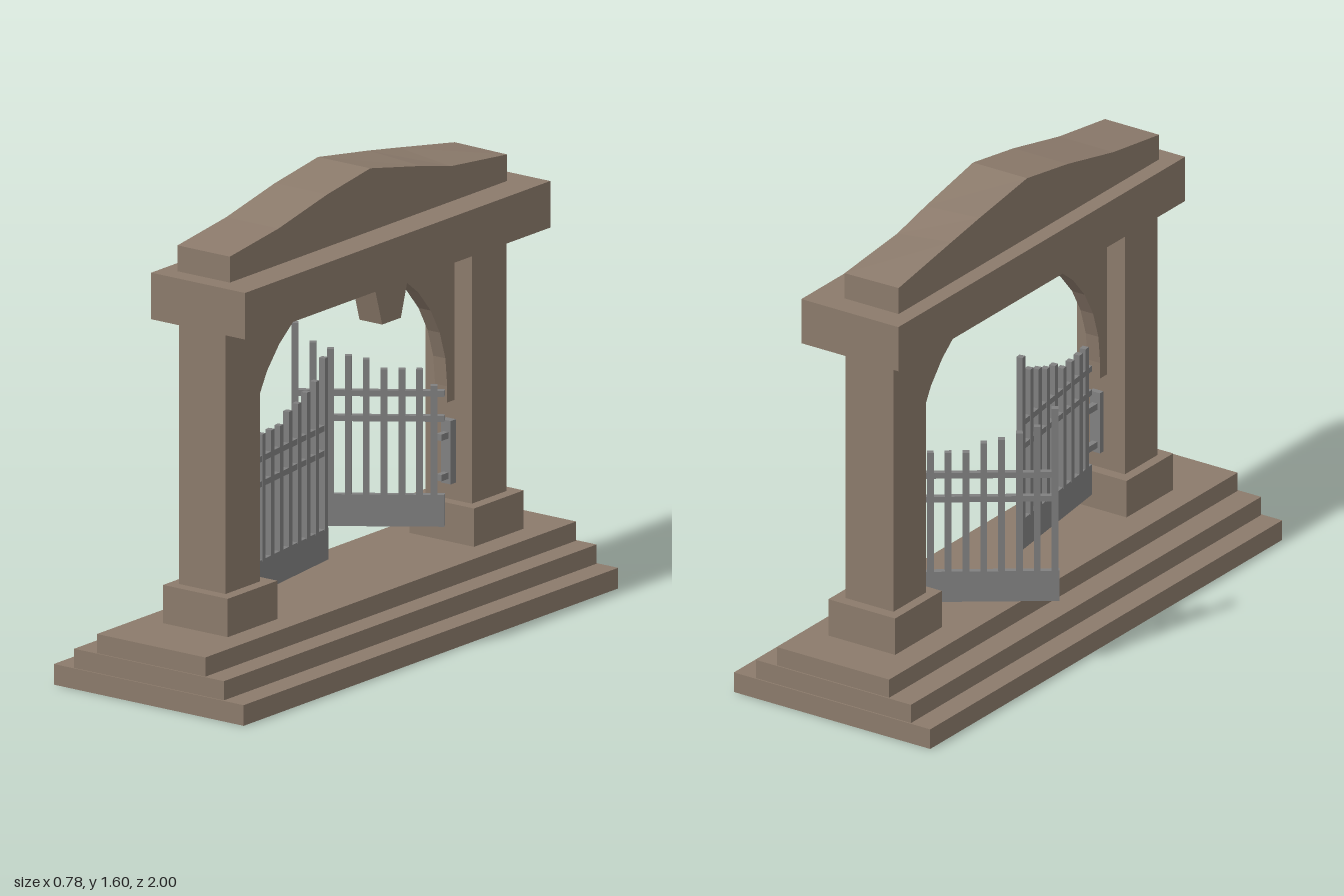
import * as THREE from 'three';

export function createModel() {
  const root = new THREE.Group();
  root.name = 'archedGateway';
  const stone = new THREE.MeshStandardMaterial({ color: 0x8b7a6b });
  stone.name = 'stone';
  const iron = new THREE.MeshStandardMaterial({ color: 0x808080 });
  iron.name = 'iron';

  const add = (name, geometry, material, parent = root) => {
    const mesh = new THREE.Mesh(geometry, material);
    mesh.name = name;
    parent.add(mesh);
    return mesh;
  };
  // Box given by its extents on each axis
  const block = (name, [x0, x1], [y0, y1], [z0, z1], material = stone, parent = root) => {
    const mesh = add(name, new THREE.BoxGeometry(x1 - x0, y1 - y0, z1 - z0), material, parent);
    mesh.position.set((x0 + x1) / 2, (y0 + y1) / 2, (z0 + z1) / 2);
    return mesh;
  };
  // Outline drawn in (z, y), extruded from x0 to x1
  const slab = (name, shape, x0, x1) => {
    const geo = new THREE.ExtrudeGeometry(shape, { depth: x1 - x0, bevelEnabled: false });
    geo.rotateY(-Math.PI / 2).translate(x1, 0, 0);
    return add(name, geo, stone);
  };

  // Stepped base
  block('bottomStep', [-0.39, 0.39], [0, 0.07], [-1, 1]);
  block('middleStep', [-0.31, 0.305], [0.07, 0.135], [-0.995, 0.995]);
  block('topStep', [-0.22, 0.225], [0.135, 0.2], [-0.99, 0.99]);

  // Columns and plinths, mirrored about the middle of the opening
  const mid = -0.03;
  for (const s of [1, -1]) {
    const span = (a, b) => [mid + s * a, mid + s * b].sort((p, q) => p - q);
    block('plinth', [-0.125, 0.14], [0.2, 0.33], span(0.525, 0.79));
    block('column', [-0.09, 0.1], [0.33, 1.235], span(0.565, 0.75));
  }

  // Thin arch panel between the columns
  const arch = new THREE.Shape();
  arch.moveTo(mid + 0.57, 0.67);
  arch.lineTo(mid + 0.57, 1.24);
  arch.lineTo(mid - 0.57, 1.24);
  arch.lineTo(mid - 0.57, 0.67);
  arch.lineTo(mid - 0.525, 0.67);
  for (let i = 0; i <= 16; i++) {
    const a = Math.PI * (1 - i / 16);
    arch.lineTo(mid + 0.525 * Math.cos(a), 0.725 + 0.5 * Math.sin(a));
  }
  arch.lineTo(mid + 0.525, 0.67);
  slab('archPanel', arch, -0.02, 0.03);

  // Tapered keystone
  const key = new THREE.Shape();
  key.moveTo(mid - 0.09, 1.235);
  key.lineTo(mid - 0.05, 1.1);
  key.lineTo(mid + 0.05, 1.1);
  key.lineTo(mid + 0.09, 1.235);
  slab('keystone', key, 0.112, 0.205);

  block('lintel', [-0.155, 0.23], [1.232, 1.39], [-0.845, 0.785]);

  // Sloping cap: each section is z, top height on the -x side, on the +x side
  const sections = [
    [-0.76, 1.483, 1.48], [-0.46, 1.535, 1.51], [-0.3, 1.562, 1.548], [mid, 1.603, 1.603],
    [0.2, 1.568, 1.568], [0.46, 1.513, 1.513], [0.72, 1.478, 1.478],
  ];
  const n = sections.length - 1;
  let cap = new THREE.BoxGeometry(1, 1, 1, 1, 1, n);
  const p = cap.attributes.position;
  for (let i = 0; i < p.count; i++) {
    const [z, left, right] = sections[Math.round((p.getZ(i) + 0.5) * n)];
    const plus = p.getX(i) > 0;
    const top = p.getY(i) > 0;
    p.setXYZ(i, plus ? 0.118 : -0.097, top ? (plus ? right : left) : 1.385, z);
  }
  cap = cap.toNonIndexed();
  cap.computeVertexNormals();
  add('roofCap', cap, stone);

  // Gate leaf: local +x runs from the free end to the hinge end
  const heights = [0.94, 0.875, 0.853, 0.83, 0.818, 0.785, 0.785, 0.785, 0.79];
  const makeGate = (name, [fx, fz], [hx, hz], lastHeight) => {
    const gate = new THREE.Group();
    gate.name = name;
    const length = Math.hypot(hx - fx, hz - fz);
    block('kickPanel', [0, length], [0.252, 0.36], [-0.01, 0.01], iron, gate);
    for (const y of [0.618, 0.703]) {
      block('rail', [0.005, length], [y - 0.01, y + 0.01], [-0.01, 0.01], iron, gate);
    }
    heights.forEach((h, i) => {
      const u = i === 8 ? length - 0.035 : 0.014 + i * 0.058;
      const top = i === 8 ? lastHeight : h;
      block('bar', [u - 0.011, u + 0.011], [0.355, top], [-0.011, 0.011], iron, gate);
    });
    gate.position.set(fx, 0, fz);
    gate.rotation.y = Math.atan2(-(hz - fz), hx - fx);
    root.add(gate);
  };
  makeGate('nearlyClosedGate', [-0.05, -0.01], [0.015, 0.483], 0.79);
  makeGate('openGate', [-0.38, -0.252], [0.025, -0.548], 0.73);

  // Hinge plates on the columns with arms reaching the gates
  for (const [wall, plate, arm] of [[0.537, 0.515, 0.45], [-0.597, -0.567, -0.53]]) {
    const sorted = (a, b) => [Math.min(a, b), Math.max(a, b)];
    block('hingePlate', [-0.005, 0.035], [0.39, 0.605], sorted(wall, plate), iron);
    for (const y of [0.418, 0.555]) {
      block('hingeArm', [0.005, 0.025], [y - 0.011, y + 0.011], sorted(plate, arm), iron);
    }
  }
  return root;
}
